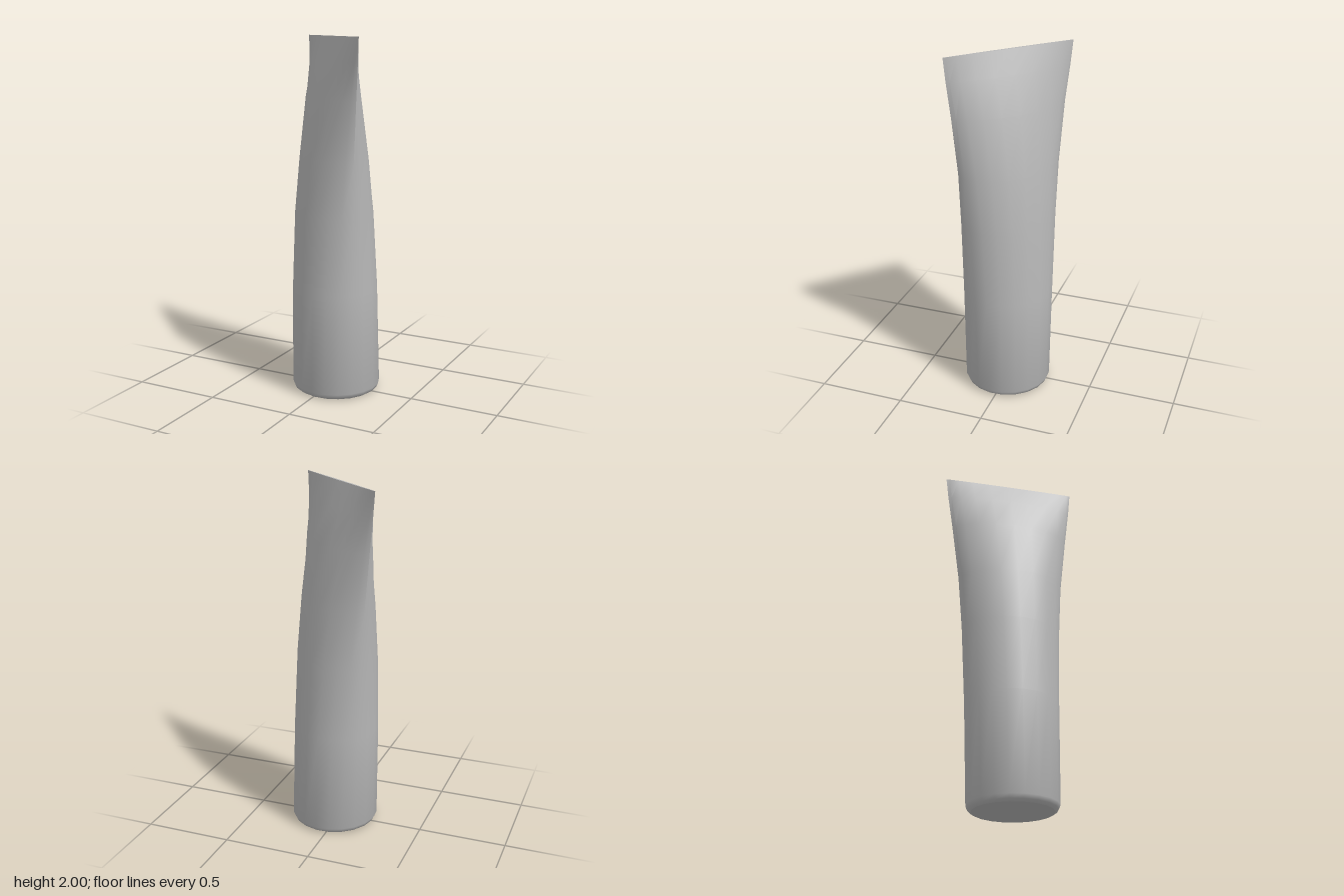
import * as THREE from 'three';
import { toCreasedNormals } from 'three/addons/utils/BufferGeometryUtils.js';

const SIDES = 20;
const SEAM = Math.atan2(0.515, 0.57); // direction of the pinched top edge

// Cross-sections: height, half width along the seam, half thickness, pinch (1 = ellipse)
const SECTIONS = [
  [0, 0.222, 0.222, 1],
  [0.012, 0.24, 0.24, 1],
  [0.035, 0.25, 0.25, 1],
  [0.6, 0.264, 0.238, 1.04],
  [1.03, 0.283, 0.214, 1.12],
  [1.34, 0.305, 0.178, 1.22],
  [1.67, 0.345, 0.116, 1.35],
  [1.87, 0.372, 0.052, 1.35],
  [2, 0.386, 0.006, 1],
];

// One ring of points, round at the base and lens-shaped towards the seam
function ring([y, width, thick, pinch]) {
  const drift = 1 - y / 2;
  return Array.from({ length: SIDES }, (_, j) => {
    const t = (j / SIDES) * Math.PI * 2;
    const s = Math.sin(t);
    const a = width * Math.cos(t);
    const b = thick * Math.sign(s) * Math.abs(s) ** pinch;
    return [
      0.03 * drift + a * Math.cos(SEAM) - b * Math.sin(SEAM),
      y,
      0.005 * drift + a * Math.sin(SEAM) + b * Math.cos(SEAM),
    ];
  });
}

function geometryFrom(points, index) {
  const g = new THREE.BufferGeometry();
  g.setAttribute('position', new THREE.Float32BufferAttribute(points.flat(), 3));
  g.setIndex(index);
  return toCreasedNormals(g, 0.9);
}

// Skin running through all the rings
function skin(rings) {
  const index = [];
  for (let i = 0; i < rings.length - 1; i++) {
    for (let j = 0; j < SIDES; j++) {
      const a = i * SIDES + j;
      const b = i * SIDES + ((j + 1) % SIDES);
      index.push(a, a + SIDES, b, b, a + SIDES, b + SIDES);
    }
  }
  return geometryFrom(rings.flat(), index);
}

// Flat lid closing one ring
function lid(points, faceUp) {
  const index = [];
  for (let j = 1; j < SIDES - 1; j++) {
    if (faceUp) index.push(0, j + 1, j);
    else index.push(0, j, j + 1);
  }
  return geometryFrom(points, index);
}

export function createModel() {
  const model = new THREE.Group();
  model.name = 'pinchedTube';
  const grey = new THREE.MeshStandardMaterial({ color: 0xb8b8b8 });
  grey.name = 'grey';

  const add = (name, geometry) => {
    const mesh = new THREE.Mesh(geometry, grey);
    mesh.name = name;
    model.add(mesh);
  };

  const rings = SECTIONS.map(ring);
  add('tubeBody', skin(rings));
  add('base', lid(rings[0], false));
  add('topSeam', lid(rings[rings.length - 1], true));
  return model;
}
